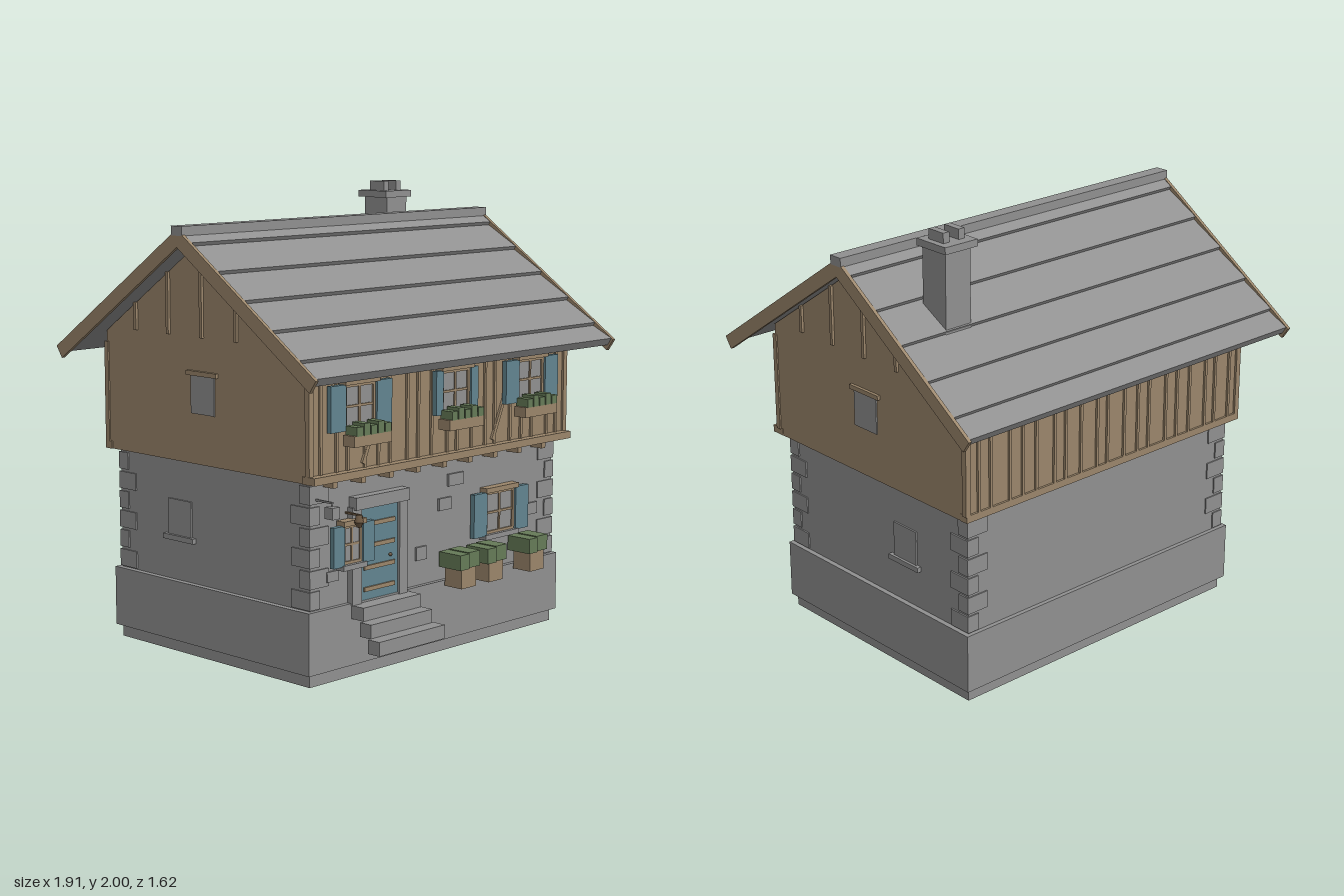
import * as THREE from 'three';

const mat = (name, color) => {
  const m = new THREE.MeshStandardMaterial({ color });
  m.name = name;
  return m;
};

export function createModel() {
  const stone = mat('stone grey', 0x909090);
  const wood = mat('timber brown', 0x9b866b);
  const blue = mat('shutter blue', 0x628590);
  const green = mat('leaf green', 0x667b58);
  const brass = mat('lantern brown', 0x6e5a44);

  const house = new THREE.Group();
  house.name = 'house';

  const add = (name, geo, material, parent = house) => {
    const m = new THREE.Mesh(geo, material);
    m.name = name;
    parent.add(m);
    return m;
  };
  // Box given by its extents on each axis
  const box = (name, material, x0, x1, y0, y1, z0, z1, parent) => {
    const m = add(name, new THREE.BoxGeometry(x1 - x0, y1 - y0, z1 - z0), material, parent);
    m.position.set((x0 + x1) / 2, (y0 + y1) / 2, (z0 + z1) / 2);
    return m;
  };
  // Outline of [z, y] points extruded across x
  const across = (name, material, pts, x0, x1) => {
    const shape = new THREE.Shape(pts.map(([z, y]) => new THREE.Vector2(-z, y)));
    const geo = new THREE.ExtrudeGeometry(shape, { depth: x1 - x0, bevelEnabled: false });
    geo.rotateY(Math.PI / 2).translate(x0, 0, 0);
    return add(name, geo, material);
  };

  // Masonry ground floor
  box('footing', stone, -0.78, 0.78, 0, 0.06, -0.595, 0.595);
  box('plinth', stone, -0.803, 0.8, 0.055, 0.32, -0.615, 0.615);
  box('stoneWalls', stone, -0.777, 0.777, 0.32, 0.86, -0.595, 0.595);

  // Corner stones, long side alternating
  for (const sx of [-1, 1]) for (const sz of [-1, 1]) for (let i = 0; i < 6; i++) {
    const lx = i % 2 ? 0.11 : 0.06, lz = i % 2 ? 0.06 : 0.11, y = 0.325 + i * 0.088;
    const q = add('cornerStone', new THREE.BoxGeometry(lx, 0.076, lz), stone);
    q.position.set(sx * (0.784 - lx / 2), y + 0.038, sz * (0.601 - lz / 2));
  }

  // Loose stones showing on the front
  for (const [x, y, w, h] of [[0.11, 0.755, 0.1, 0.053], [0.04, 0.655, 0.08, 0.053],
    [-0.112, 0.46, 0.065, 0.058], [0.63, 0.55, 0.07, 0.053], [-0.653, 0.45, 0.07, 0.043]])
    box('wallStone', stone, x - w / 2, x + w / 2, y - h / 2, y + h / 2, 0.59, 0.606);

  // Timber upper floor with gables
  const under = z => 1.81 - 0.68 * Math.abs(z);
  across('timberFloor', wood,
    [[-0.63, 0.858], [0.63, 0.858], [0.63, under(0.63)], [0, under(0)], [-0.63, under(0.63)]], -0.818, 0.818);
  box('frontSillBeam', wood, -0.825, 0.82, 0.858, 0.89, 0.6, 0.67);
  box('backSillBeam', wood, -0.825, 0.82, 0.858, 0.89, -0.64, -0.6);
  for (let i = 0; i < 9; i++) {
    const x = -0.695 + i * 0.1667;
    box('joistEnd', wood, x - 0.013, x + 0.013, 0.832, 0.858, 0.58, 0.66);
  }
  for (const sx of [-1, 1]) for (const sz of [-1, 1]) {
    const p = add('cornerPost', new THREE.BoxGeometry(0.025, 0.45, 0.025), wood);
    p.position.set(sx * 0.812, 1.11, sz * 0.628);
  }

  // Battens over the plank joints, front and back
  for (const s of [-1, 1]) for (let i = 0; i < 19; i++) {
    const x = -0.755 + i * 0.084 + 0.012 * Math.sin(i * 2.3);
    const b = add('batten', new THREE.BoxGeometry(0.013, 0.42, 0.012), wood);
    b.position.set(x, 1.1, s * 0.634);
  }
  // Diagonal braces
  for (const x of [-0.425, 0.395]) {
    const b = add('brace', new THREE.BoxGeometry(0.016, 0.42, 0.012), wood);
    b.position.set(x, 1.1, 0.635);
    b.rotation.z = -0.42;
  }

  // Gable studs and side windows
  for (const s of [-1, 1]) {
    const side = (name, m, z0, z1, y0, y1, out) =>
      box(name, m, Math.min(s * 0.77, s * out), Math.max(s * 0.77, s * out), y0, y1, z0, z1);
    for (const z of [-0.425, -0.212, 0, 0.212, 0.425])
      side('gableStud', wood, z - 0.008, z + 0.008, 1.4, under(z), 0.83);
    side('gableWindow', stone, -0.072, 0.075, 1.075, 1.238, 0.824);
    side('gableWindowHead', wood, -0.093, 0.095, 1.238, 1.258, 0.832);
    side('sideWindow', stone, -0.27, -0.123, 0.52, 0.677, 0.785);
    side('sideWindowSill', stone, -0.293, -0.1, 0.497, 0.52, 0.797);
  }

  // Roof in overlapping courses
  const top = z => 1.86 - 0.68 * z;
  const steps = [0.075, 0.233, 0.391, 0.55, 0.705];
  const half = [[0, 1.856]];
  for (const z of steps) half.push([z, top(z)], [z - 0.009, top(z) - 0.015]);
  half.push([0.8, top(0.8)], [0.78, top(0.8) - 0.032]);
  const mirrored = half.slice(1).reverse().map(([z, y]) => [-z, y]);
  across('roof', stone, [...half, [0, 1.812], ...mirrored], -0.942, 0.942);
  const barge = [[0, 1.862], [0.81, 1.31], [0.775, 1.259], [0, 1.787], [-0.775, 1.259], [-0.81, 1.31]];
  across('bargeBoardRight', wood, barge, -0.956, -0.94);
  across('bargeBoardLeft', wood, barge, 0.94, 0.956);
  box('ridgeCap', stone, -0.957, 0.957, 1.835, 1.875, -0.033, 0.033);

  // Chimney
  box('chimneyStack', stone, 0.566, 0.7, 1.5, 1.925, -0.385, -0.243);
  box('chimneyCap', stone, 0.543, 0.717, 1.925, 1.956, -0.405, -0.228);
  for (const x of [0.59, 0.672])
    box('chimneyPot', stone, x - 0.016, x + 0.016, 1.956, 2, -0.36, -0.27);

  // Front window: pane, wooden frame with glazing bars, head and a pair of shutters
  const frontWindow = (name, x, w, y0, y1, z, shutter, sill) => {
    const g = new THREE.Group();
    g.name = name;
    house.add(g);
    const h = w / 2, ym = (y0 + y1) / 2, t = 0.012;
    box('pane', stone, x - h, x + h, y0, y1, z - 0.01, z + 0.01, g);
    for (const s of [-1, 1]) {
      const e = x + s * (h - t / 2);
      box('frameSide', wood, e - t / 2, e + t / 2, y0, y1, z, z + 0.018, g);
      const c = x + s * (h + shutter / 2);
      box('shutter', blue, c - shutter / 2, c + shutter / 2, y0 - 0.005, y1 + 0.003, z + 0.005, z + 0.028, g);
    }
    box('frameTop', wood, x - h, x + h, y1 - t, y1, z, z + 0.018, g);
    box('frameBottom', wood, x - h, x + h, y0, y0 + t, z, z + 0.018, g);
    box('barUpright', wood, x - 0.005, x + 0.005, y0, y1, z, z + 0.016, g);
    box('barCross', wood, x - h, x + h, ym - 0.005, ym + 0.005, z, z + 0.016, g);
    box('windowHead', wood, x - h - 0.012, x + h + 0.012, y1, y1 + 0.022, z - 0.01, z + 0.035, g);
    if (sill) box('windowSill', stone, x - h - 0.015, x + h + 0.015, y0 - 0.022, y0, z - 0.01, z + 0.035, g);
  };
  frontWindow('upperWindowRight', -0.545, 0.18, 1.065, 1.248, 0.637, 0.09);
  frontWindow('upperWindowMiddle', 0.045, 0.18, 1.065, 1.248, 0.637, 0.045);
  frontWindow('upperWindowLeft', 0.548, 0.18, 1.065, 1.248, 0.637, 0.09);
  frontWindow('lowerWindowLeft', 0.388, 0.195, 0.482, 0.67, 0.602, 0.088, true);
  frontWindow('lowerWindowRight', -0.563, 0.11, 0.495, 0.658, 0.612, 0.066, true);

  // Flower boxes under the upper windows
  for (const x of [-0.54, 0.04, 0.51 + 0.03]) {
    box('flowerBox', wood, x - 0.11, x + 0.11, 1.0, 1.046, 0.66, 0.725);
    for (let i = 0; i < 5; i++) {
      const c = x - 0.08 + i * 0.042, h = i % 2 ? 0.05 : 0.038;
      box('boxPlant', green, c - 0.018, c + 0.018, 1.044, 1.044 + h, 0.66, 0.727);
    }
  }

  // Door with stone surround
  box('doorJambRight', stone, -0.558, -0.503, 0.31, 0.725, 0.58, 0.625);
  box('doorJambLeft', stone, -0.272, -0.222, 0.31, 0.725, 0.58, 0.625);
  box('doorLintel', stone, -0.55, -0.225, 0.715, 0.768, 0.58, 0.64);
  box('door', blue, -0.505, -0.27, 0.312, 0.71, 0.58, 0.612);
  for (const y of [0.365, 0.457, 0.55, 0.642])
    box('doorRail', wood, -0.48, -0.295, y - 0.009, y + 0.009, 0.6, 0.62);
  const knob = add('doorKnob', new THREE.SphereGeometry(0.008, 10, 8), brass);
  knob.position.set(-0.322, 0.492, 0.618);

  // Front steps
  box('topStep', stone, -0.555, -0.205, 0.255, 0.312, 0.61, 0.685);
  box('middleStep', stone, -0.575, -0.2, 0.195, 0.255, 0.685, 0.747);
  box('bottomStep', stone, -0.592, -0.19, 0.137, 0.197, 0.747, 0.81);

  // Lantern by the door
  box('lanternArm', brass, -0.572, -0.562, 0.7, 0.708, 0.595, 0.672);
  const lantern = add('lantern', new THREE.CylinderGeometry(0.013, 0.021, 0.03, 6), brass);
  lantern.position.set(-0.567, 0.69, 0.67);
  const lanternBase = add('lanternBase', new THREE.CylinderGeometry(0.021, 0.01, 0.022, 6), brass);
  lanternBase.position.set(-0.567, 0.664, 0.67);

  // Hanging block on a bracket at the corner
  box('bracketBar', stone, -0.75, -0.742, 0.779, 0.787, 0.59, 0.695);
  box('bracketHanger', stone, -0.748, -0.744, 0.765, 0.783, 0.689, 0.693);
  box('hangingBlock', stone, -0.767, -0.725, 0.718, 0.767, 0.67, 0.715);

  // Potted shrubs
  for (const x of [0.06, 0.24, 0.523]) {
    box('plantPot', wood, x - 0.047, x + 0.047, 0.3, 0.39, 0.628, 0.725);
    box('shrubHalf', green, x - 0.066, x - 0.008, 0.385, 0.452, 0.61, 0.735);
    box('shrubHalf', green, x - 0.008, x + 0.066, 0.388, 0.456, 0.615, 0.73);
  }

  return house;
}
